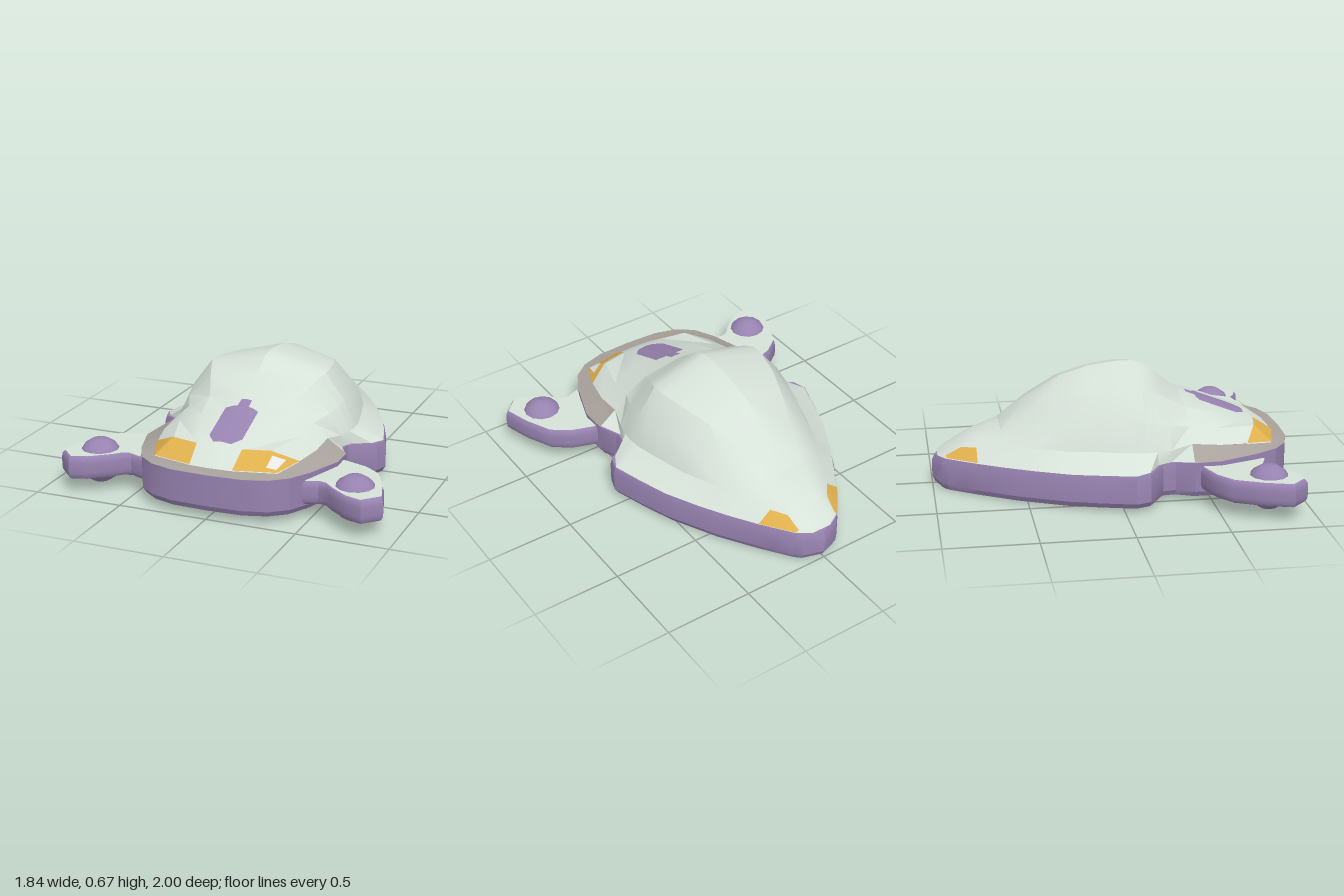
import * as THREE from 'three';
import { toCreasedNormals } from 'three/addons/utils/BufferGeometryUtils.js';

const mat = (name, color) => {
  const m = new THREE.MeshStandardMaterial({ color });
  m.name = name;
  return m;
};

// Surface from half cross-sections (tail to front), mirrored across x = 0.
// sides: [1, -1] for both halves.
function loft(rows, sides = [1, -1]) {
  const pos = [];
  for (const s of sides) {
    const tri = (a, b, c) => {
      for (const p of s > 0 ? [a, b, c] : [a, c, b]) pos.push(p[0] * s, p[1], p[2]);
    };
    for (let i = 0; i < rows.length - 1; i++) {
      for (let j = 0; j < rows[i].length - 1; j++) {
        const a = rows[i][j], b = rows[i][j + 1], c = rows[i + 1][j], d = rows[i + 1][j + 1];
        tri(a, c, b);
        tri(b, c, d);
      }
    }
  }
  const g = new THREE.BufferGeometry();
  g.setAttribute('position', new THREE.Float32BufferAttribute(pos, 3));
  return toCreasedNormals(g, 0.4);
}

const section = (z, ...pairs) => pairs.map(([x, y]) => [x, y, z]);
const lift = (rows, dx, dy, dz) => rows.map(r => r.map(([x, y, z]) => [x + dx, y + dy, z + dz]));

export function createModel() {
  const pale = mat('paleShell', 0xd6e1d8);
  const purple = mat('purple', 0x9883b1);
  const gold = mat('goldLamp', 0xdfb04e);
  const grey = mat('rimGrey', 0xa8a19c);
  const dark = mat('undersideGrey', 0x8a8886);
  const white = mat('glintWhite', 0xe6e8e6);

  const model = new THREE.Group();
  const add = (name, geometry, material, parent = model) => {
    const m = new THREE.Mesh(geometry, material);
    m.name = name;
    parent.add(m);
    return m;
  };

  // Hull outline: x, z, top y, bottom y
  const outline = [
    [0, -1, 0.175, 0.015], [0.11, -0.955, 0.18, 0.005], [0.145, -0.92, 0.185, 0.004],
    [0.205, -0.84, 0.187, 0.006], [0.265, -0.76, 0.19, 0.008], [0.4, -0.56, 0.195, 0.012],
    [0.54, -0.3, 0.2, 0.018], [0.61, -0.12, 0.205, 0.023], [0.67, 0.06, 0.21, 0.028],
    [0.645, 0.14, 0.213, 0.03], [0.51, 0.23, 0.22, 0.036], [0.51, 0.3, 0.226, 0.04],
    [0.555, 0.4, 0.235, 0.04], [0.56, 0.54, 0.24, 0.042], [0.485, 0.76, 0.247, 0.044],
    [0.42, 0.88, 0.25, 0.045], [0.33, 0.95, 0.25, 0.046], [0.2, 0.99, 0.25, 0.047],
    [0, 1, 0.25, 0.048],
  ];
  add('hullWall', loft(outline.map(([x, z, t, b]) => {
    const k = z < 0.35 ? 0.985 : 1; // only the rear edge is chamfered
    return [
      [0, t - 0.003, z * k], [x * k, t - 0.001, z * k], [x, t - 0.035, z],
      [x, b + 0.03, z], [x * 0.97, b, z * 0.985],
    ];
  })), purple);
  add('underside', loft(outline.map(([x, z, , b]) => [
    [x * 0.97, b, z * 0.985], [0, b, z * 0.985],
  ])), dark);

  // Domed shell
  const shell = [
    section(-0.97, [0, 0.184], [0.012, 0.184], [0.025, 0.184], [0.04, 0.184], [0.055, 0.183]),
    section(-0.925, [0, 0.215], [0.04, 0.21], [0.08, 0.205], [0.115, 0.197], [0.135, 0.187]),
    section(-0.84, [0, 0.265], [0.05, 0.262], [0.09, 0.257], [0.127, 0.245], [0.2, 0.189]),
    section(-0.76, [0, 0.305], [0.07, 0.3], [0.13, 0.285], [0.185, 0.255], [0.26, 0.191]),
    section(-0.62, [0, 0.345], [0.13, 0.34], [0.2, 0.31], [0.26, 0.27], [0.353, 0.194]),
    section(-0.46, [0, 0.49], [0.17, 0.45], [0.27, 0.37], [0.34, 0.29], [0.447, 0.197]),
    section(-0.27, [0, 0.605], [0.24, 0.54], [0.36, 0.42], [0.42, 0.29], [0.545, 0.201]),
    section(-0.1, [0, 0.655], [0.3, 0.575], [0.41, 0.44], [0.47, 0.295], [0.605, 0.207]),
    section(0.06, [0, 0.673], [0.335, 0.588], [0.45, 0.44], [0.505, 0.29], [0.655, 0.212]),
    section(0.14, [0, 0.673], [0.34, 0.588], [0.45, 0.44], [0.51, 0.29], [0.613, 0.215]),
    section(0.2, [0, 0.655], [0.32, 0.57], [0.44, 0.43], [0.505, 0.29], [0.52, 0.221]),
    section(0.28, [0, 0.595], [0.29, 0.53], [0.42, 0.41], [0.485, 0.29], [0.49, 0.226]),
    section(0.4, [0, 0.5], [0.24, 0.46], [0.37, 0.385], [0.45, 0.31], [0.55, 0.237]),
  ];
  add('shell', loft(shell), pale);

  // Sloping hood
  const hood = [
    shell[shell.length - 1].slice(0, 4),
    section(0.56, [0, 0.438], [0.22, 0.415], [0.35, 0.36], [0.445, 0.295]),
    [[0, 0.347, 0.8], [0.13, 0.34, 0.81], [0.28, 0.343, 0.78], [0.41, 0.283, 0.715]],
    [[0, 0.262, 0.93], [0.12, 0.262, 0.925], [0.35, 0.262, 0.87], [0.41, 0.28, 0.72]],
  ];
  add('hood', loft(hood), pale);

  // Grey rim between hood and hull, meeting the outline corner for corner
  add('rim', loft([
    [[0.45, 0.31, 0.4], [0.557, 0.236, 0.395]],
    [[0.445, 0.295, 0.56], [0.561, 0.241, 0.54]],
    [[0.41, 0.281, 0.718], [0.486, 0.248, 0.76]],
    [[0.35, 0.262, 0.87], [0.421, 0.251, 0.88]],
    [[0.35, 0.262, 0.87], [0.331, 0.251, 0.951]],
    [[0.12, 0.262, 0.925], [0.2, 0.251, 0.991]],
    [[0, 0.262, 0.93], [0, 0.251, 1]],
  ]), grey);

  // Lamps
  add('frontLamps', loft(lift(hood.slice(2).map(r => r.slice(1)), 0, 0.006, 0.005)), gold);
  add('rearLamps', loft(lift(shell.slice(1, 4).map(r => r.slice(3)), 0.006, 0.007, 0)), gold);

  // Glint folded over the lamp's ridge, on the left lamp only
  const inner = [0.287, 0.277, 0.865], upper = [0.297, 0.323, 0.802];
  const lower = [0.342, 0.271, 0.86], outer = [0.362, 0.297, 0.772];
  add('lampGlint', loft(lift([[inner, inner], [lower, upper], [outer, outer]], 0.001, 0.011, 0.009), [1]), white);

  // Hood emblem plate, following the slope
  const plateRow = (z, w) => {
    const y = 0.662 - 0.39 * z;
    return section(z, [0, y], [w, y - w * 0.12]);
  };
  add('hoodPlate', loft([
    plateRow(0.445, 0.03), plateRow(0.495, 0.033), plateRow(0.5, 0.06),
    plateRow(0.515, 0.095), plateRow(0.78, 0.095),
  ]), purple);

  // Side pods with ball ends
  const podPoints = [
    [0.48, 0.42], [0.57, 0.43], [0.7, 0.475], [0.8, 0.55], [0.875, 0.71], [0.92, 0.86],
    [0.83, 0.95], [0.735, 0.92], [0.63, 0.84], [0.58, 0.79], [0.54, 0.78], [0.46, 0.81],
  ];
  for (const s of [1, -1]) {
    const pod = new THREE.Group();
    pod.name = s > 0 ? 'leftPod' : 'rightPod';
    model.add(pod);
    const trace = k => new THREE.Shape(podPoints.map(([x, z]) =>
      new THREE.Vector2(s * (0.7 + (x - 0.7) * k), -(0.69 + (z - 0.69) * k))));
    const body = new THREE.ExtrudeGeometry(trace(1), {
      depth: 0.05, bevelThickness: 0.04, bevelSize: 0.022, bevelOffset: -0.022, bevelSegments: 3,
    });
    add('podBody', toCreasedNormals(body.rotateX(-Math.PI / 2).translate(0, 0.122, 0), 0.6), purple, pod);
    add('podTop', new THREE.ShapeGeometry(trace(0.94)).rotateX(-Math.PI / 2).translate(0, 0.216, 0), pale, pod);
    const under = new THREE.ShapeGeometry(trace(0.94)).rotateX(Math.PI / 2).scale(1, 1, -1);
    // flip winding so the underside faces down
    const idx = under.index.array;
    for (let i = 0; i < idx.length; i += 3) [idx[i], idx[i + 1]] = [idx[i + 1], idx[i]];
    under.computeVertexNormals();
    add('podUnderside', under.translate(0, 0.078, 0), pale, pod);
    const ball = new THREE.SphereGeometry(0.125, 12, 8);
    add('podBall', ball.translate(s * 0.735, 0.15, 0.76), purple, pod);
  }

  // Underside details
  const hex = new THREE.CylinderGeometry(0.18, 0.18, 0.012, 6);
  add('bellyHexagon', hex.translate(0, 0.032, 0.2), dark);
  [[0.7, 0.042], [-0.14, 0.021], [-0.42, 0.014]].forEach(([z, y]) =>
    add('bellySlat', new THREE.BoxGeometry(0.46, 0.014, 0.06).translate(0, y, z), dark));

  return model;
}
